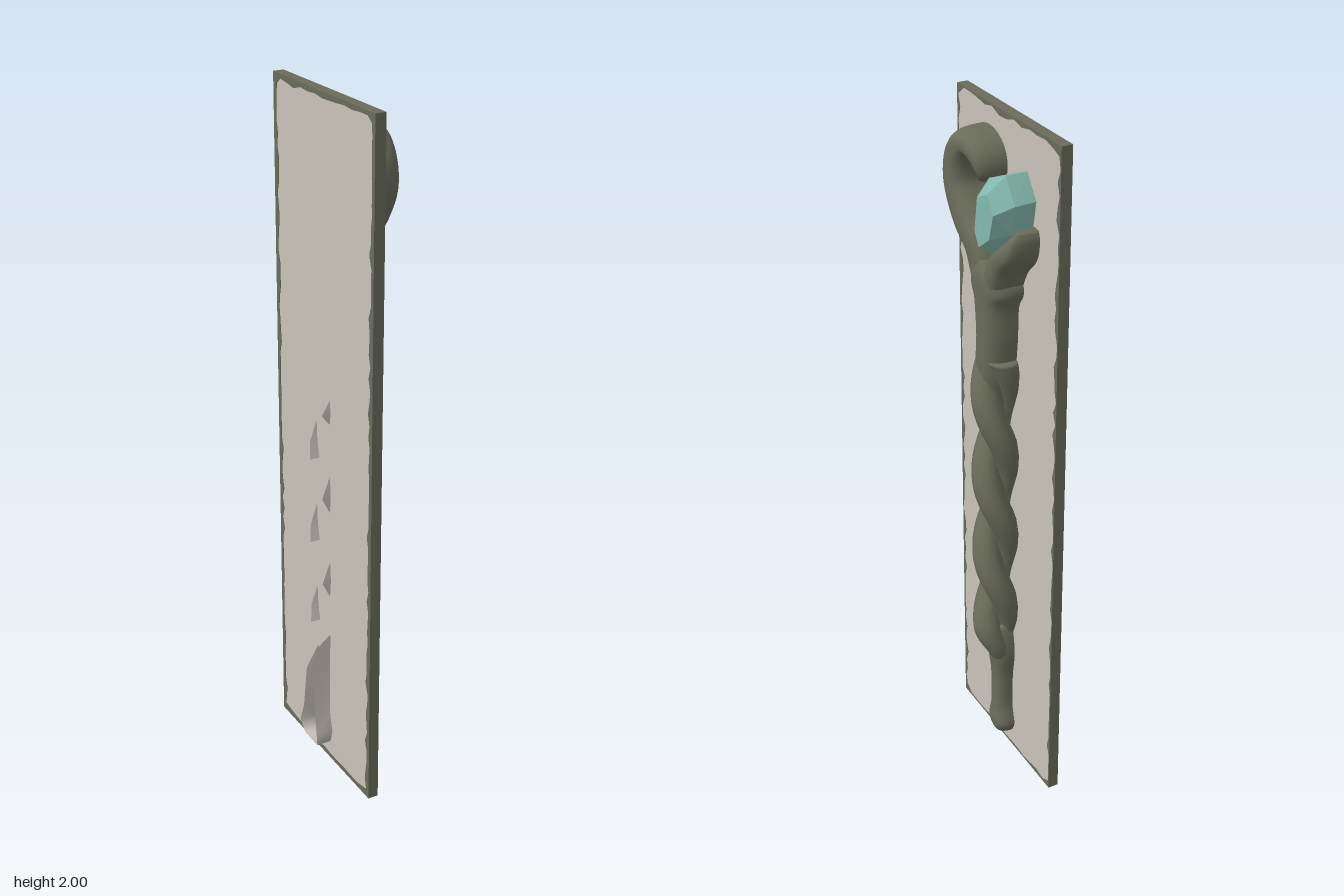
import * as THREE from 'three';
import { ConvexGeometry } from 'three/addons/geometries/ConvexGeometry.js';

const V = (x, y, z) => new THREE.Vector3(x, y, z);
const mat = (name, color, side = THREE.FrontSide) => {
  const m = new THREE.MeshStandardMaterial({ color, side });
  m.name = name;
  return m;
};

// Sweeps a section along a path lying in the z-y plane.
// Each point is [z, y, half width, depth, centre x]; "round" gives a full tube, else a flat-backed limb.
function sweep(points, steps, round = false) {
  const path = new THREE.CatmullRomCurve3(points.map(p => V(p[4] ?? -0.03, p[1], p[0])), false, 'catmullrom', 0.5);
  const size = new THREE.CatmullRomCurve3(points.map(p => V(p[2], p[3], 0)), false, 'catmullrom', 0.5);
  const sides = 14, pos = [], idx = [];
  const soft = (v, e) => Math.sign(v) * Math.abs(v) ** e;
  for (let i = -1; i <= steps + 1; i++) {
    const t = THREE.MathUtils.clamp(i / steps, 0, 1);
    const c = path.getPoint(t), s = size.getPoint(t), d = path.getTangent(t);
    const l = Math.hypot(d.y, d.z), ny = -d.z / l, nz = d.y / l;
    const k = i < 0 || i > steps ? 0.02 : 1; // closed ends
    for (let j = 0; j <= sides; j++) {
      const a = (j / sides) * Math.PI * (round ? 2 : 1);
      const w = k * s.x * (round ? Math.cos(a) : soft(Math.cos(a), 0.75));
      const h = k * s.y * (round ? Math.sin(a) : soft(Math.sin(a), 0.6));
      pos.push(Math.max(c.x + h, -0.03), c.y + ny * w, c.z + nz * w);
    }
  }
  const n = sides + 1;
  for (let i = 0; i < steps + 2; i++) for (let j = 0; j < sides; j++) {
    const a = i * n + j;
    idx.push(a, a + 1, a + n + 1, a, a + n + 1, a + n);
  }
  const g = new THREE.BufferGeometry();
  g.setAttribute('position', new THREE.Float32BufferAttribute(pos, 3));
  g.setIndex(idx);
  g.computeVertexNormals();
  return g;
}

// Thin wall standing out from the rear of the panel; each point is [z, y, outer x]
function wall(points) {
  const pos = [], idx = [];
  points.forEach(([z, y, x], i) => {
    pos.push(-0.04, y, z, x, y, z);
    if (i) idx.push(2 * i - 2, 2 * i - 1, 2 * i + 1, 2 * i - 2, 2 * i + 1, 2 * i);
  });
  const g = new THREE.BufferGeometry();
  g.setAttribute('position', new THREE.Float32BufferAttribute(pos, 3));
  g.setIndex(idx);
  g.computeVertexNormals();
  return g;
}

// Worn, ragged border plate
function raggedRim(base, jag, seed) {
  const rnd = () => (seed = (seed * 16807) % 2147483647) / 2147483647;
  const W = 0.265, s = new THREE.Shape(), hole = new THREE.Path();
  s.moveTo(-W, 0).lineTo(W, 0).lineTo(W, 2).lineTo(-W, 2).closePath();
  const inset = () => base + jag * rnd() ** 2;
  const pts = [];
  for (let i = 0; i < 60; i++) pts.push([-W + inset(), 0.025 + i * 0.033]);
  for (let i = 1; i < 14; i++) pts.push([-W + i * 0.038, 2 - inset()]);
  for (let i = 59; i >= 0; i--) pts.push([W - inset(), 0.025 + i * 0.033]);
  for (let i = 13; i > 0; i--) pts.push([-W + i * 0.038, inset()]);
  pts.forEach(([x, y], i) => (i ? hole.lineTo(x, y) : hole.moveTo(x, y)));
  hole.closePath();
  s.holes.push(hole);
  const g = new THREE.ExtrudeGeometry(s, { depth: 0.002, bevelEnabled: false });
  return g.rotateY(-Math.PI / 2);
}

export function createModel() {
  const root = new THREE.Group();
  const wood = mat('olive wood', 0x6a6c5a);
  const pale = mat('pale stone', 0xc9c4ba);
  const paleThin = mat('pale thin wall', 0xc9c4ba, THREE.DoubleSide);
  const teal = mat('teal crystal', 0x84b9ad);
  const add = (name, geo, m, parent = root) => {
    const o = new THREE.Mesh(geo, m);
    o.name = name;
    parent.add(o);
    return o;
  };

  // Backing panel: pale broad faces, olive edges
  add('panel', new THREE.BoxGeometry(0.028, 2, 0.53), [pale, pale, wood, wood, wood, wood])
    .position.set(-0.031, 1, 0);
  add('frontRim', raggedRim(0.003, 0.016, 11), wood).position.x = -0.0155;
  add('backRim', raggedRim(0.012, 0.012, 29), wood).position.x = -0.0445;

  const staff = new THREE.Group();
  staff.name = 'staff';
  root.add(staff);

  // Handle with flared foot
  add('handle', sweep([
    [-0.003, 0.055, 0.036, 0.054], [-0.003, 0.09, 0.05, 0.062], [-0.003, 0.16, 0.037, 0.058],
    [-0.005, 0.27, 0.037, 0.06], [-0.01, 0.36, 0.042, 0.07], [-0.01, 0.46, 0.03, 0.06],
  ], 30), wood, staff);

  // Two strands twisted around each other
  for (const phase of [0, Math.PI]) {
    const pts = [];
    for (let y = 0.26; y < 1.36; y += 0.03) {
      const a = ((y - 0.945) / 0.51) * Math.PI * 2 + phase;
      const e = THREE.MathUtils.smoothstep(y, 0.24, 0.46);
      const r = 0.024 + 0.019 * e;
      pts.push([0.031 * e * Math.sin(a), y, r, r, -0.005 + 0.013 * e + 0.035 * e * Math.cos(a)]);
    }
    add('twistedStrand', sweep(pts, 110, true), wood, staff);
  }

  // Upper shaft with knots below the fork
  add('shaft', sweep([
    [0.005, 1.2, 0.035, 0.07], [0.01, 1.29, 0.056, 0.09], [-0.002, 1.4, 0.058, 0.095],
    [-0.002, 1.5, 0.064, 0.098], [-0.002, 1.545, 0.088, 0.1], [0, 1.585, 0.078, 0.1],
    [0, 1.62, 0.035, 0.09],
  ], 40), wood, staff);

  // Curled hook
  add('hook', sweep([
    [0.025, 1.56, 0.05, 0.095], [0.054, 1.64, 0.053, 0.1], [0.11, 1.70, 0.055, 0.105],
    [0.152, 1.775, 0.053, 0.107], [0.151, 1.84, 0.052, 0.107], [0.12, 1.89, 0.046, 0.107],
    [0.077, 1.904, 0.037, 0.104], [0.036, 1.886, 0.032, 0.1], [0.02, 1.85, 0.022, 0.09],
    [0.035, 1.825, 0.012, 0.075],
  ], 60), wood, staff);

  // Short prong on the other side of the fork
  add('prong', sweep([
    [-0.025, 1.56, 0.05, 0.095], [-0.075, 1.64, 0.043, 0.1], [-0.125, 1.685, 0.036, 0.1],
    [-0.146, 1.724, 0.023, 0.09], [-0.152, 1.75, 0.01, 0.07],
  ], 30), wood, staff);

  // Faceted crystal held in the fork
  const outline = [[-0.02, 1.85], [-0.104, 1.883], [-0.152, 1.82], [-0.136, 1.74],
    [-0.07, 1.655], [-0.025, 1.65], [0.013, 1.7], [0.013, 1.775]];
  const face = [[-0.04, 1.815], [-0.105, 1.845], [-0.135, 1.80], [-0.115, 1.73], [-0.06, 1.69], [-0.025, 1.72]];
  add('crystal', new ConvexGeometry([
    ...outline.flatMap(([z, y]) => [V(-0.02, y, z * 0.95 - 0.003), V(0.045, y, z)]),
    ...face.map(([z, y], i) => V(i === 0 || i === 5 ? 0.09 : 0.097, y, z)),
  ]), teal);

  // Open walls of the handle showing behind the panel
  add('rearHandleWall', wall([
    [0.038, 0.43, -0.05], [0.036, 0.4, -0.085], [0.033, 0.35, -0.095], [0.033, 0.16, -0.095],
    [0.047, 0.1, -0.098], [0.036, 0.058, -0.09], [-0.04, 0.058, -0.09], [-0.055, 0.1, -0.098],
    [-0.037, 0.16, -0.095], [-0.036, 0.29, -0.085], [-0.036, 0.36, -0.045],
  ]), paleThin);

  // Slivers of the twist showing behind the panel
  for (const y of [0.45, 0.715, 0.975])
    add('rearSliver', wall([[-0.025, y, -0.075], [-0.036, y + 0.05, -0.068], [-0.04, y + 0.11, -0.045]]), paleThin);
  for (const [y, h] of [[0.56, 0.11], [0.83, 0.11], [1.1, 0.07]])
    add('rearSliver', wall([[0.035, y, -0.046], [0.04, y + h * 0.45, -0.072], [0.036, y + h, -0.046]]), paleThin);

  return root;
}
